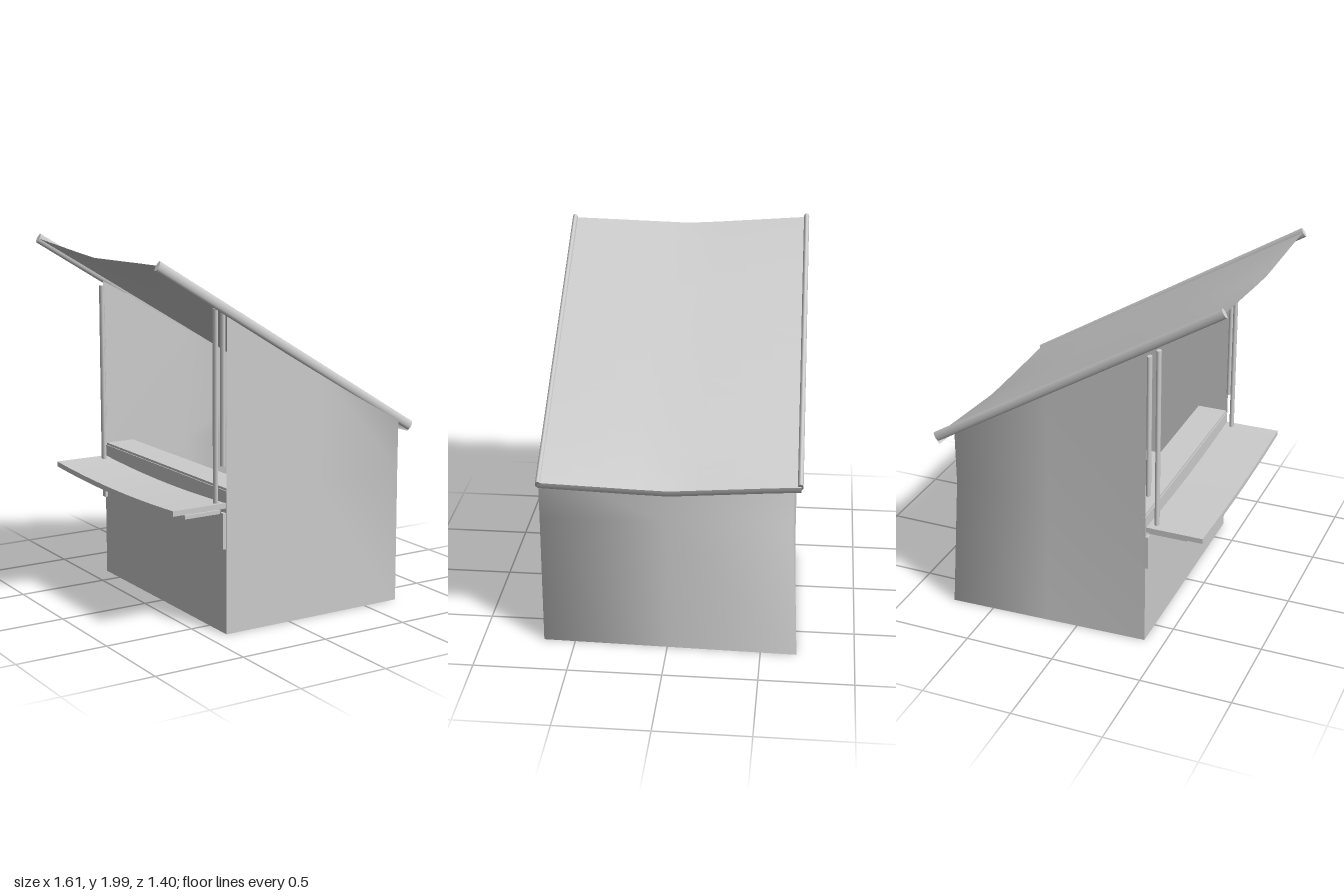
import * as THREE from 'three';

const lerp = THREE.MathUtils.lerp;
const mat = new THREE.MeshStandardMaterial({ color: 0xcccccc, side: THREE.DoubleSide });

// Roof surface: a nearly flat slope, folded slightly down along the middle towards both ends
const roofZ = (s, w) => lerp(lerp(-0.65, -0.69, s), lerp(0.685, 0.66, s), w);
function roofY(x, z) {
  const s = (x + 0.8) / 1.6;
  const w = THREE.MathUtils.clamp((z + 0.67) / 1.34, 0, 1);
  const edge = lerp(lerp(1.975, 1.02, s), lerp(1.935, 0.985, s), w);
  return edge - (1 - Math.abs(2 * w - 1)) * (0.012 + 0.025 * (2 * s - 1) ** 4);
}

// Smooth sheet of (nu+1) x (nv+1) points given by fn(u, v) -> [x, y, z]
function sheet(nu, nv, fn) {
  const pos = [], idx = [];
  for (let i = 0; i <= nu; i++) for (let j = 0; j <= nv; j++) pos.push(...fn(i / nu, j / nv));
  for (let i = 0; i < nu; i++) for (let j = 0; j < nv; j++) {
    const a = i * (nv + 1) + j, b = a + nv + 1;
    idx.push(a, b, a + 1, b, b + 1, a + 1);
  }
  const g = new THREE.BufferGeometry();
  g.setAttribute('position', new THREE.Float32BufferAttribute(pos, 3));
  g.setIndex(idx);
  g.computeVertexNormals();
  return g;
}

export function createModel() {
  const model = new THREE.Group();
  const add = (name, geo, x = 0, y = 0, z = 0) => {
    const m = new THREE.Mesh(geo, mat);
    m.name = name;
    m.position.set(x, y, z);
    model.add(m);
    return m;
  };
  // Round bar between two points, scaled across z
  const bar = (name, from, to, r, scaleZ) => {
    const a = new THREE.Vector3(...from), d = new THREE.Vector3(...to).sub(a);
    const m = add(name, new THREE.CylinderGeometry(r, r, d.length(), 12));
    m.position.copy(a).addScaledVector(d, 0.5);
    m.quaternion.setFromUnitVectors(new THREE.Vector3(0, 1, 0), d.normalize());
    m.scale.z = scaleZ;
  };

  // Three-sided wall with broad smooth shading, flaring at one back corner, cut off along the roof
  const plan = [[-0.39, 0.67], [0.705, 0.67], [0.705, -0.65], [-0.39, -0.65]];
  const base = [[-0.39, 0.67], [0.71, 0.67], [0.738, -0.693], [-0.39, -0.655]];
  const onPath = (pts, t) => {
    const k = Math.min(2, Math.floor(t * 3 + 1e-6)), f = t * 3 - k;
    return [0, 1].map(c => lerp(pts[k][c], pts[k + 1][c], f));
  };
  add('walls', sheet(6, 2, (u, v) => {
    const [x, z] = onPath(v === 0 ? base : plan, u);
    return [x, [0, 0.74, roofY(x, z) - 0.01][v * 2], z];
  }));

  // Low wall under the serving opening, inner shelf and raised floor
  add('servingWall', new THREE.BoxGeometry(0.015, 0.76, 1.32), -0.383, 0.38, 0.008);
  add('innerShelf', new THREE.BoxGeometry(0.17, 0.025, 1.3), -0.3, 0.76, 0.01);
  add('floor', new THREE.BoxGeometry(1.07, 0.02, 1.3), 0.155, 0.4, 0.01);

  // Roof sheet
  add('roof', sheet(16, 8, (s, w) => {
    const x = lerp(-0.785, 0.8, s), z = roofZ(s, w);
    return [x, roofY(x, z), z];
  }));

  // Rolled lip under the low end of the roof
  add('eave', sheet(8, 8, (w, v) => {
    const z = roofZ(1, w), a = v * Math.PI;
    return [0.775 + 0.025 * Math.cos(a / 2), roofY(0.8, z) - 0.02 * (1 - Math.cos(a)), z];
  }));

  // Flat ceiling panel that shows through the fold of the roof
  const panel = new THREE.BufferGeometry().setFromPoints(
    [[-0.34, -0.07], [-0.34, 0.31], [0.43, 0]].map(([x, z]) => new THREE.Vector3(x, roofY(x, z) + 0.006, z)));
  panel.computeVertexNormals();
  add('ceilingPanel', panel);

  // Trims along the sloping roof edges
  bar('leftRoofTrim', [-0.79, 1.925, 0.683], [0.795, 0.972, 0.655], 0.027, 0.55);
  bar('rightRoofTrim', [-0.785, 1.967, -0.652], [0.795, 1.018, -0.685], 0.027, 0.55);

  // Serving counter: thin board, dipping slightly mid-width, on a support plank
  const board = new THREE.BoxGeometry(0.31, 0.028, 1.31, 1, 1, 16);
  const p = board.attributes.position;
  for (let i = 0; i < p.count; i++) {
    p.setY(i, p.getY(i) - 0.02 * (1 - (p.getZ(i) / 0.655) ** 2));
  }
  board.computeVertexNormals();
  add('counter', board, -0.547, 0.684, 0.01);
  add('counterSupport', new THREE.BoxGeometry(0.21, 0.02, 1.2), -0.495, 0.639, 0.01);

  // Posts, window jambs and brackets at each side of the opening
  for (const [outer, post] of [[-0.64, -0.59], [0.65, 0.63]]) {
    bar('post', [-0.432, 0.68, post], [-0.432, 1.69, post], 0.0125, 1.4);
    bar('jamb', [-0.402, 0.89, outer], [-0.402, 1.675, outer], 0.0125, 1.4);
    add('counterBracket', new THREE.BoxGeometry(0.02, 0.19, 0.03), -0.398, 0.55, outer);
  }
  return model;
}
